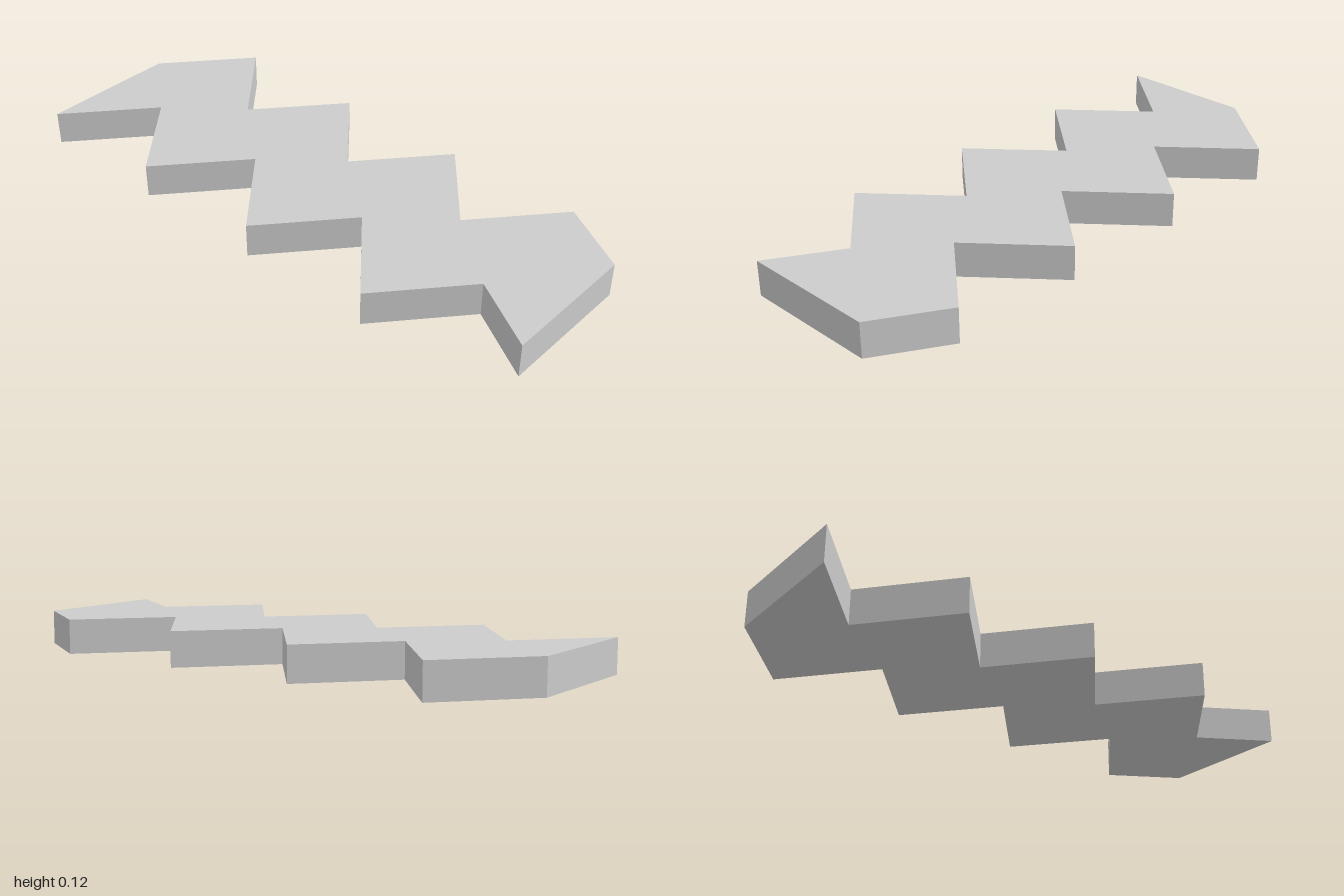
import * as THREE from 'three';

export function createModel() {
  const group = new THREE.Group();
  const lightGrey = new THREE.MeshStandardMaterial({ color: 0xcccccc });
  lightGrey.name = 'lightGrey';

  const width = 0.5, height = 0.125, step = 0.25;

  // Left edge of the zigzag, from the front (z = 1) to the back (z = -1)
  const edge = [[-0.25, -1]];
  for (let i = 1; i <= 8; i++) {
    edge.push([i % 2 ? -0.104 : -0.396, -1 + i * step]);
  }

  // Close the outline with the same edge shifted sideways
  const outline = [
    ...edge.map(([x, y]) => new THREE.Vector2(x + width, y)),
    ...edge.reverse().map(([x, y]) => new THREE.Vector2(x, y)),
  ];

  // Flat slab lying on the ground
  const geometry = new THREE.ExtrudeGeometry(new THREE.Shape(outline), {
    depth: height,
    bevelEnabled: false,
  });
  geometry.rotateX(-Math.PI / 2);

  const slab = new THREE.Mesh(geometry, lightGrey);
  slab.name = 'zigzagSlab';
  group.add(slab);
  return group;
}
